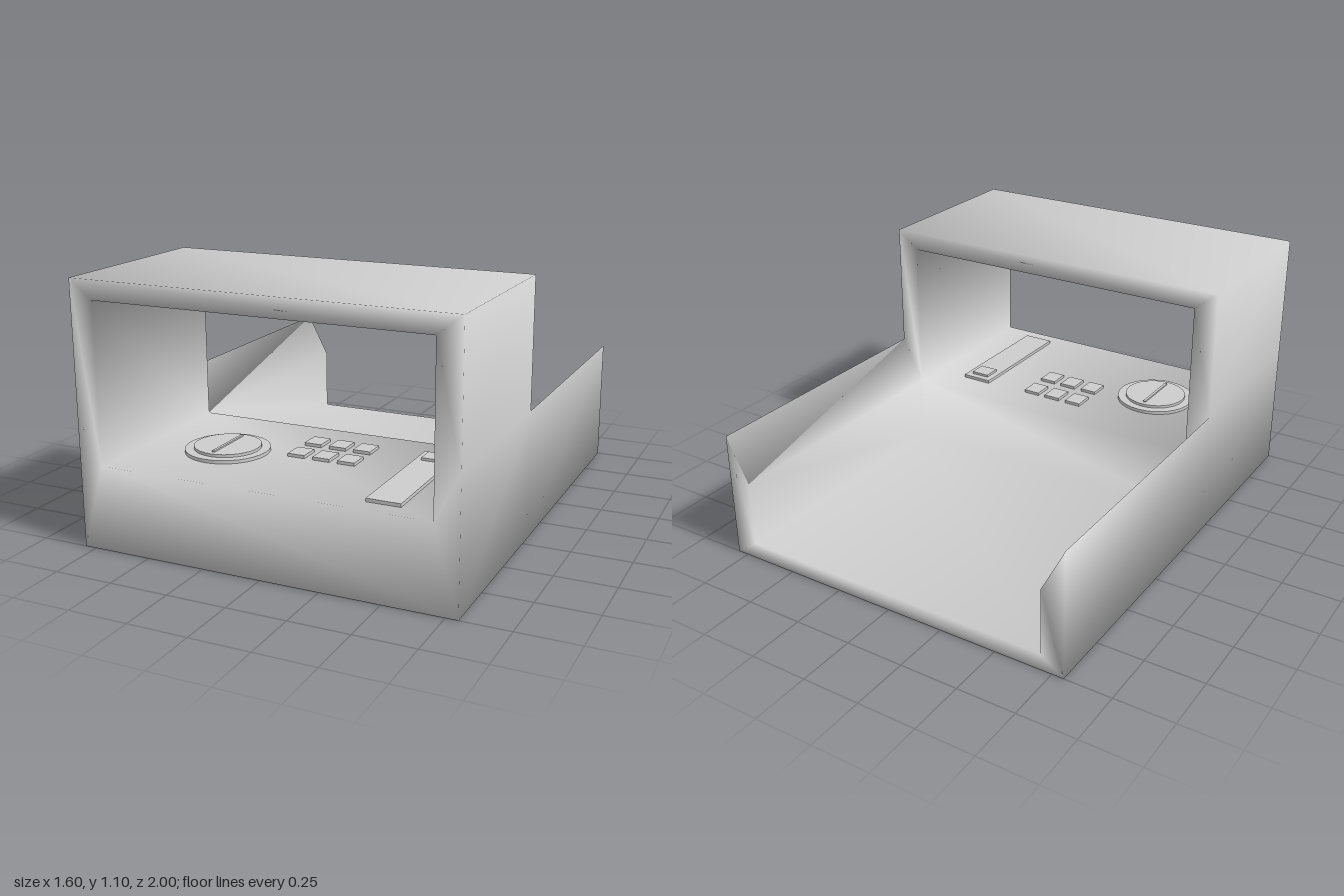
import * as THREE from 'three';
import { mergeVertices } from 'three/addons/utils/BufferGeometryUtils.js';

const DECK = 0.355; // height of the control deck

// Cross-section points (x, y) and the depth stations they are used at
const SECTION = {
  A: [0.8, 0],      // outer bottom
  B: [0.8, 0.55],   // top of the low side wall
  C: [0.8, 1.1],    // outer top
  D: [0.7, 1.02],   // top of the opening
  E: [0.7, DECK],   // deck edge
  F: [0.7, 0.07],   // rear floor edge
};
const STATION = { 1: 1, 2: 0.2, 3: -1 };

// Faces of the +x half, mirrored to the other side
const SIDE_FACES = [
  'A1 B1 E1', 'B1 C1 D1 E1',                       // front frame
  'A1 A2 B2 B1', 'B1 B2 C2 C1', 'A2 A3 B3 B2',     // outer side
  'E2 D2 C2 B2',                                   // rear of the pillar
  'E1 D1 D2 E2',                                   // inside of the pillar
  'B2 B3 E3 E2', 'F2 E2 E3 F3',                    // sloped wall top, inner wall
  'F3 E3 B3 A3',                                   // rear end of the wall
];

// Faces spanning the full width; each is an edge swept to its mirror image
const SPANS = [
  'A1 E1', 'D1 C1',           // front panel, roof front
  'C1 C2', 'C2 D2', 'D2 D1',  // roof top, rear, underside
  'E1 E2', 'E2 F2', 'F2 F3',  // deck, step, rear floor
  'F3 A3', 'A3 A2', 'A2 A1',  // rear lip, underside
];

function buildShell() {
  const positions = [];
  const point = (key, side) => {
    const [x, y] = SECTION[key[0]];
    return [x * side, y, STATION[key[1]]];
  };
  const addFace = (corners) => {
    for (let i = 1; i < corners.length - 1; i++) {
      positions.push(...corners[0], ...corners[i], ...corners[i + 1]);
    }
  };
  for (const face of SIDE_FACES) {
    const keys = face.split(' ');
    addFace(keys.map((k) => point(k, 1)));
    addFace(keys.map((k) => point(k, -1)).reverse());
  }
  for (const span of SPANS) {
    const [a, b] = span.split(' ');
    addFace([point(a, 1), point(b, 1), point(b, -1), point(a, -1)]);
  }
  const soup = new THREE.BufferGeometry();
  soup.setAttribute('position', new THREE.Float32BufferAttribute(positions, 3));
  const shell = mergeVertices(soup);
  shell.computeVertexNormals(); // soft shading over the whole shell
  return shell;
}

export function createModel() {
  const model = new THREE.Group();
  model.name = 'controlConsole';
  const grey = new THREE.MeshStandardMaterial({ color: 0xcccccc });
  grey.name = 'light grey';

  const add = (parent, name, geometry, x, y, z) => {
    const mesh = new THREE.Mesh(geometry, grey);
    mesh.name = name;
    mesh.position.set(x, y, z);
    parent.add(mesh);
    return mesh;
  };
  // Box resting on a given height
  const addBlock = (parent, name, [w, h, d], x, base, z) =>
    add(parent, name, new THREE.BoxGeometry(w, h, d), x, base + h / 2, z);
  const addGroup = (name) => {
    const group = new THREE.Group();
    group.name = name;
    model.add(group);
    return group;
  };

  add(model, 'consoleShell', buildShell(), 0, 0, 0);

  // Round dial with a needle
  const dial = addGroup('dial');
  add(dial, 'dialRim', new THREE.CylinderGeometry(0.175, 0.175, 0.014, 32), -0.35, DECK + 0.007, 0.62);
  add(dial, 'dialFace', new THREE.CylinderGeometry(0.138, 0.138, 0.012, 32), -0.35, DECK + 0.02, 0.62);
  addBlock(dial, 'dialNeedle', [0.012, 0.006, 0.23], -0.35, DECK + 0.026, 0.62);

  // Two rows of push buttons
  const buttons = addGroup('buttons');
  for (const z of [0.395, 0.545]) {
    for (const x of [-0.053, 0.058, 0.168]) {
      addBlock(buttons, 'button', [0.075, 0.013, 0.09], x, DECK, z);
    }
  }

  // Slider track with its knob
  const slider = addGroup('slider');
  addBlock(slider, 'sliderTrack', [0.14, 0.014, 0.58], 0.475, DECK, 0.63);
  addBlock(slider, 'sliderKnob', [0.085, 0.011, 0.08], 0.475, DECK + 0.014, 0.41);

  return model;
}
